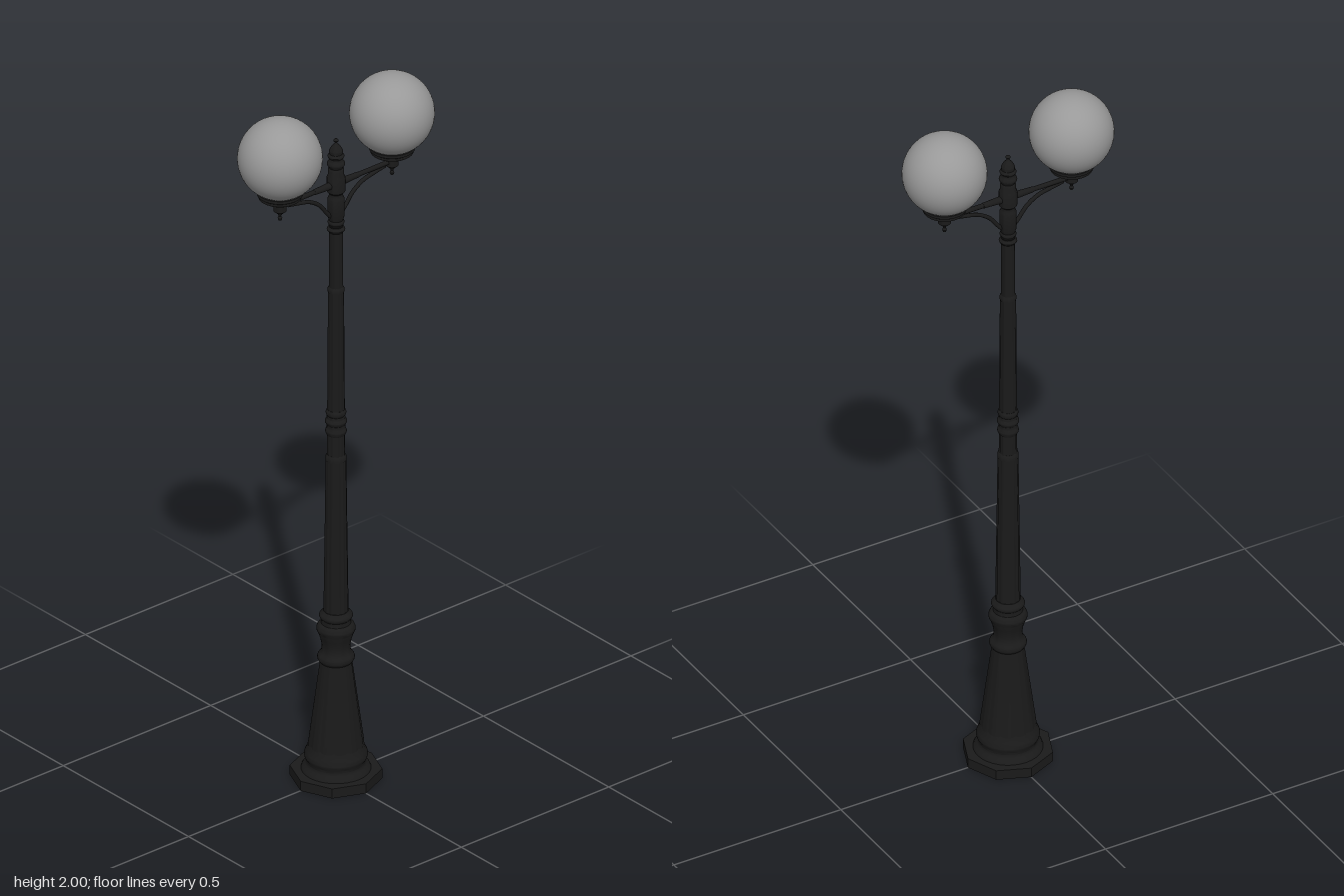
import * as THREE from 'three';
import { toCreasedNormals } from 'three/addons/utils/BufferGeometryUtils.js';

const iron = new THREE.MeshStandardMaterial({ color: 0x1a1a1a });
const glass = new THREE.MeshStandardMaterial({ color: 0x999999 });

function add(parent, name, geometry, material = iron) {
  const mesh = new THREE.Mesh(geometry, material);
  mesh.name = name;
  parent.add(mesh);
  return mesh;
}

// Turned part from [radius, height] pairs, bottom to top
function turned(parent, name, profile, sides = 32) {
  const points = profile.map(([r, y]) => new THREE.Vector2(r, y));
  return add(parent, name, toCreasedNormals(new THREE.LatheGeometry(points, sides), 0.6));
}

// Tapered shaft with shallow vertical flutes
function fluted(parent, name, r0, r1, y0, y1, flutes = 12, depth = 0.07) {
  const geo = new THREE.CylinderGeometry(r1, r0, y1 - y0, flutes * 6, 1);
  const pos = geo.attributes.position;
  for (let i = 0; i < pos.count; i++) {
    const a = Math.atan2(pos.getX(i), pos.getZ(i));
    const k = 1 - depth * (0.5 - 0.5 * Math.cos(a * flutes));
    pos.setXYZ(i, pos.getX(i) * k, pos.getY(i) + (y0 + y1) / 2, pos.getZ(i) * k);
  }
  return add(parent, name, toCreasedNormals(geo, 0.6));
}

// Half-round bead profile between two heights
function bead(r, bulge, y0, y1, steps = 6) {
  return Array.from({ length: steps + 1 }, (_, i) => {
    const t = i / steps;
    return [r + bulge * Math.sin(t * Math.PI), y0 + (y1 - y0) * t];
  });
}

export function createModel() {
  const model = new THREE.Group();
  model.name = 'streetLamp';

  // Octagonal foot
  const plate = add(model, 'basePlate', toCreasedNormals(new THREE.CylinderGeometry(0.12, 0.12, 0.028, 8), 0.3));
  plate.position.y = 0.014;

  // Flared pedestal and its collar mouldings
  turned(model, 'baseMoulding', [[0, 0.026], [0.092, 0.026], [0.088, 0.036], [0.08, 0.042],
    [0.077, 0.05], ...bead(0.077, 0.006, 0.055, 0.085), [0.074, 0.095], [0.07, 0.105], [0, 0.105]]);
  fluted(model, 'pedestal', 0.074, 0.042, 0.1, 0.345, 12, 0.04);
  turned(model, 'pedestalCollar', [[0, 0.34], ...bead(0.042, 0.007, 0.342, 0.368), [0.038, 0.375],
    [0.037, 0.39], [0.041, 0.412], [0.046, 0.425], ...bead(0.046, 0.005, 0.427, 0.452),
    [0.039, 0.456], [0.038, 0.466], ...bead(0.038, 0.006, 0.468, 0.486), [0.033, 0.492], [0, 0.492]]);

  // Three shaft stages, each slimmer than the last
  fluted(model, 'lowerShaft', 0.033, 0.027, 0.488, 0.94);
  turned(model, 'lowerShaftCap', [[0.0275, 0.935], [0.0275, 0.945], [0.023, 0.952], [0, 0.952]]);
  fluted(model, 'middleShaft', 0.024, 0.021, 0.945, 1.435);
  turned(model, 'middleRings', [[0, 1.0], ...bead(0.024, 0.004, 1.01, 1.03), [0.024, 1.036],
    ...bead(0.024, 0.005, 1.04, 1.058), [0.024, 1.064], ...bead(0.023, 0.004, 1.066, 1.084), [0, 1.086]]);
  turned(model, 'middleShaftCap', [[0.0215, 1.43], [0.0215, 1.44], [0.018, 1.446], [0, 1.446]]);
  turned(model, 'upperShaft', [[0.0185, 1.44], [0.0175, 1.62]], 24);
  turned(model, 'upperRings', [[0, 1.6], ...bead(0.018, 0.006, 1.606, 1.622), [0.019, 1.626],
    ...bead(0.018, 0.004, 1.628, 1.642), [0, 1.644]]);

  // Head that carries the arms, topped by a finial
  turned(model, 'head', [[0, 1.64], [0.018, 1.64], [0.022, 1.652], [0.022, 1.705], [0.018, 1.712],
    [0.018, 1.72], [0.024, 1.726], [0.024, 1.768], [0.021, 1.774], [0.021, 1.79], [0.018, 1.795],
    ...bead(0.019, 0.005, 1.798, 1.815), [0.018, 1.82]]);
  turned(model, 'finial', [[0.018, 1.82], ...bead(0.017, 0.005, 1.822, 1.836), [0.018, 1.845],
    [0.012, 1.857], [0.005, 1.864], [0.003, 1.868], ...bead(0.003, 0.004, 1.869, 1.879), [0, 1.881]]);

  // Mirrored arms with braces, cups and globes
  for (const side of [1, -1]) {
    const arm = new THREE.Group();
    arm.name = side > 0 ? 'leftArm' : 'rightArm';
    model.add(arm);

    const bar = add(arm, 'armBar', new THREE.CylinderGeometry(0.0065, 0.0065, 0.19, 12));
    bar.rotation.z = Math.PI / 2;
    bar.position.set(side * 0.095, 1.747, 0);
    const sleeve = add(arm, 'armSleeve', new THREE.CylinderGeometry(0.0075, 0.011, 0.075, 16));
    sleeve.rotation.z = -side * Math.PI / 2;
    sleeve.position.set(side * 0.0375, 1.747, 0);

    const curve = new THREE.CatmullRomCurve3([[0.015, 1.652], [0.032, 1.672], [0.056, 1.702],
      [0.09, 1.724], [0.13, 1.734], [0.165, 1.741]].map(([x, y]) => new THREE.Vector3(side * x, y, 0)));
    add(arm, 'brace', new THREE.TubeGeometry(curve, 32, 0.0055, 8));

    // Pendant, cup and globe holder in one turned piece
    const cup = turned(arm, 'globeHolder', [[0, 1.705], [0.004, 1.707], [0.006, 1.713], [0.003, 1.719],
      [0.006, 1.725], [0.012, 1.731], [0.017, 1.735], [0.017, 1.756], [0.012, 1.761], [0.012, 1.769],
      [0.05, 1.771], [0.056, 1.775], [0.056, 1.782], [0.06, 1.785], [0.06, 1.793], [0.052, 1.796], [0, 1.796]]);
    cup.position.x = side * 0.19;
    const globe = add(arm, 'globe', new THREE.SphereGeometry(0.111, 48, 32), glass);
    globe.position.set(side * 0.19, 1.889, 0);
  }
  return model;
}
